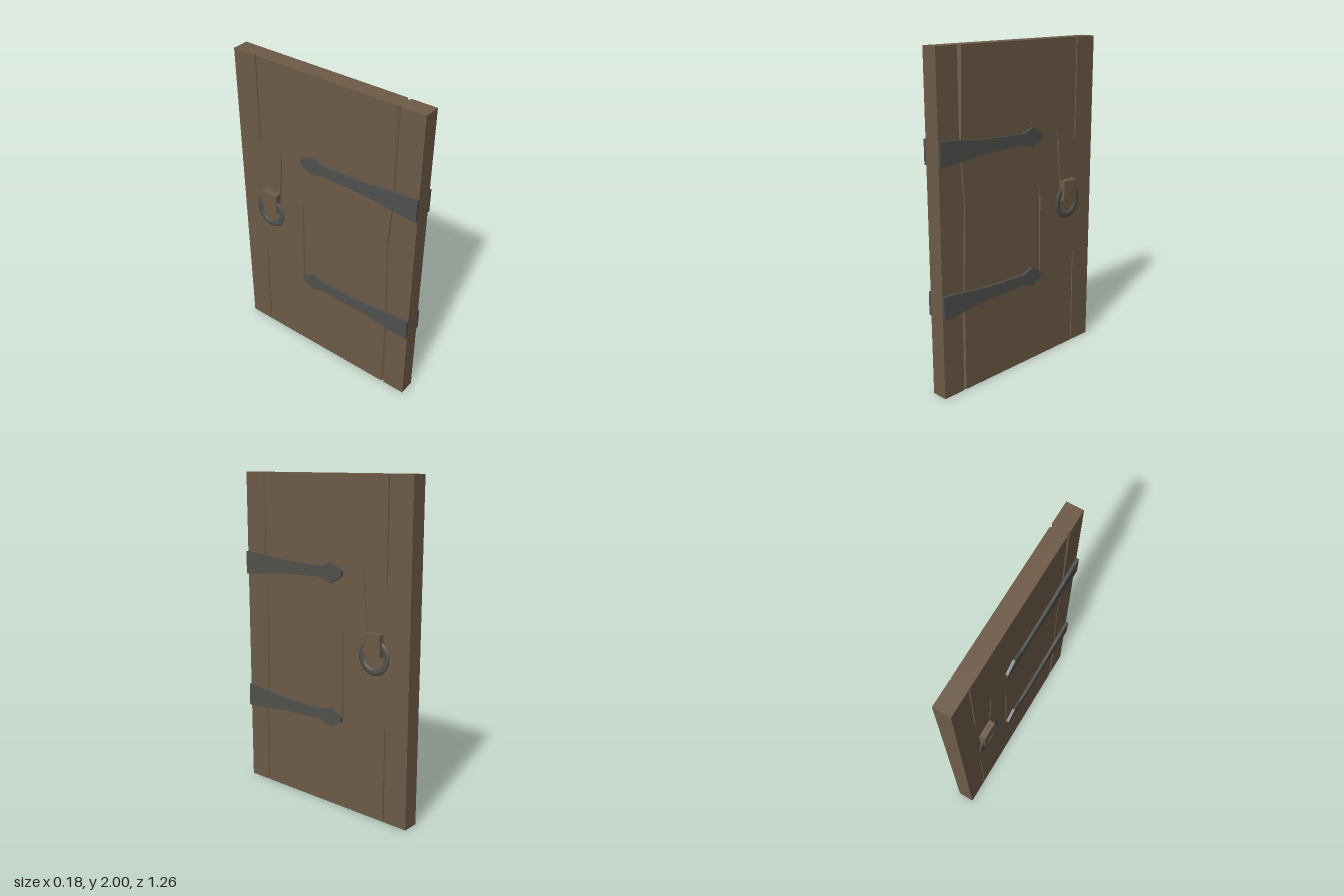
import * as THREE from 'three';

const wood = new THREE.MeshStandardMaterial({ color: 0x6e5b48, flatShading: true });
const iron = new THREE.MeshStandardMaterial({ color: 0x50504d, flatShading: true });
const ironSmooth = new THREE.MeshStandardMaterial({ color: 0x50504d });

const HX = 0.051, HZ = 0.63;

// Plank seams and cracks, front to back. Each key: [y, z, half width, depth]
const grooves = [
  [[0, 0.475, 0.009, 0.017], [0.5, 0.475, 0.009, 0.017], [0.64, 0.47, 0.005, 0.012], [1.13, 0.454, 0.004, 0.01],
    [1.37, 0.472, 0.004, 0.01], [1.5, 0.476, 0.008, 0.015], [2, 0.47, 0.014, 0.017]],
  [[0.52, -0.155, 0.0005, 0], [0.58, -0.158, 0.005, 0.012], [1.06, -0.155, 0.005, 0.012], [1.13, -0.155, 0.001, 0]],
  [[1.06, -0.338, 0.0005, 0], [1.13, -0.335, 0.004, 0.012], [1.34, -0.314, 0.004, 0.012], [1.52, -0.311, 0.0005, 0]],
  [[0, -0.471, 0.004, 0.016], [0.54, -0.471, 0.004, 0.014], [0.64, -0.471, 0.0005, 0],
    [1.37, -0.471, 0.0005, 0], [1.47, -0.471, 0.004, 0.014], [2, -0.471, 0.004, 0.016]],
];

// Linear interpolation between the keys of one groove
function grooveAt(keys, y) {
  if (y <= keys[0][0]) return keys[0];
  for (let i = 1; i < keys.length; i++) {
    const a = keys[i - 1], b = keys[i];
    if (y <= b[0]) {
      const t = (y - a[0]) / (b[0] - a[0]);
      return a.map((v, k) => v + (b[k] - v) * t);
    }
  }
  return keys[keys.length - 1];
}

// Horizontal section of the door at height y, as [x, z] points
function section(y) {
  const side = [[HX, HZ]];
  for (const keys of grooves) {
    const [, z, w, d] = grooveAt(keys, y);
    side.push([HX, z + w], [HX - d, z], [HX, z - w]);
  }
  side.push([HX, -HZ]);
  return [...side, ...side.map(([x, z]) => [-x, z]).reverse()];
}

// Door slab: lofted sections with capped ends
function doorGeometry() {
  const levels = [...new Set([0, 2, ...grooves.flat().map((k) => k[0])])].sort((a, b) => a - b);
  const pos = [], index = [];
  const rings = levels.map(section);
  const n = rings[0].length;
  rings.forEach((ring, j) => ring.forEach(([x, z]) => pos.push(x, levels[j], z)));
  for (let j = 0; j < levels.length - 1; j++) {
    for (let i = 0; i < n; i++) {
      const a = j * n + i, b = j * n + (i + 1) % n;
      index.push(a, b, b + n, a, b + n, a + n);
    }
  }
  const last = (levels.length - 1) * n;
  const cap = (ring) => THREE.ShapeUtils.triangulateShape(ring.map(([x, z]) => new THREE.Vector2(x, -z)), []);
  for (const [a, b, c] of cap(rings[0])) index.push(a, c, b);
  for (const [a, b, c] of cap(rings[levels.length - 1])) index.push(last + a, last + b, last + c);
  const geo = new THREE.BufferGeometry();
  geo.setAttribute('position', new THREE.Float32BufferAttribute(pos, 3));
  geo.setIndex(index);
  const flat = geo.toNonIndexed();
  flat.computeVertexNormals();
  return flat;
}

// Strap hinge: tapering band with a spearhead tip, [z, half height]
function strapGeometry(depth) {
  const half = [[0.63, 0.071], [0.53, 0.065], [0.33, 0.043], [0.2, 0.037], [0, 0.032], [-0.075, 0.06], [-0.155, 0.016]];
  const outline = [...half, ...half.map(([z, h]) => [z, -h]).reverse()];
  const shape = new THREE.Shape(outline.map(([z, h]) => new THREE.Vector2(z, h)));
  const geo = new THREE.ExtrudeGeometry(shape, { depth, bevelEnabled: false });
  geo.translate(0, 0, -depth / 2);
  geo.rotateY(-Math.PI / 2);
  return geo;
}

export function createModel() {
  const model = new THREE.Group();
  model.name = 'door';
  const add = (name, geo, mat, x, y, z) => {
    const mesh = new THREE.Mesh(geo, mat);
    mesh.name = name;
    mesh.position.set(x, y, z);
    model.add(mesh);
    return mesh;
  };

  add('doorSlab', doorGeometry(), wood, 0, 0, 0);

  const strap = strapGeometry(0.02);
  const block = new THREE.BoxGeometry(0.042, 0.128, 0.114);
  const ring = new THREE.TorusGeometry(0.088, 0.02, 12, 32);
  ring.scale(1, 1, 0.4);
  ring.rotateY(Math.PI / 2);

  // Hardware on both faces
  for (const [side, s] of [['left', 1], ['right', -1]]) {
    add(side + 'UpperHinge', strap, iron, s * 0.058, 1.44, 0);
    add(side + 'LowerHinge', strap, iron, s * 0.058, 0.565, 0);
    add(side + 'HandleBlock', block, wood, s * 0.068, 1.065, -0.395);
    add(side + 'HandleRing', ring, ironSmooth, s > 0 ? 0.063 : -0.076, 0.99, -0.395);
  }
  return model;
}
